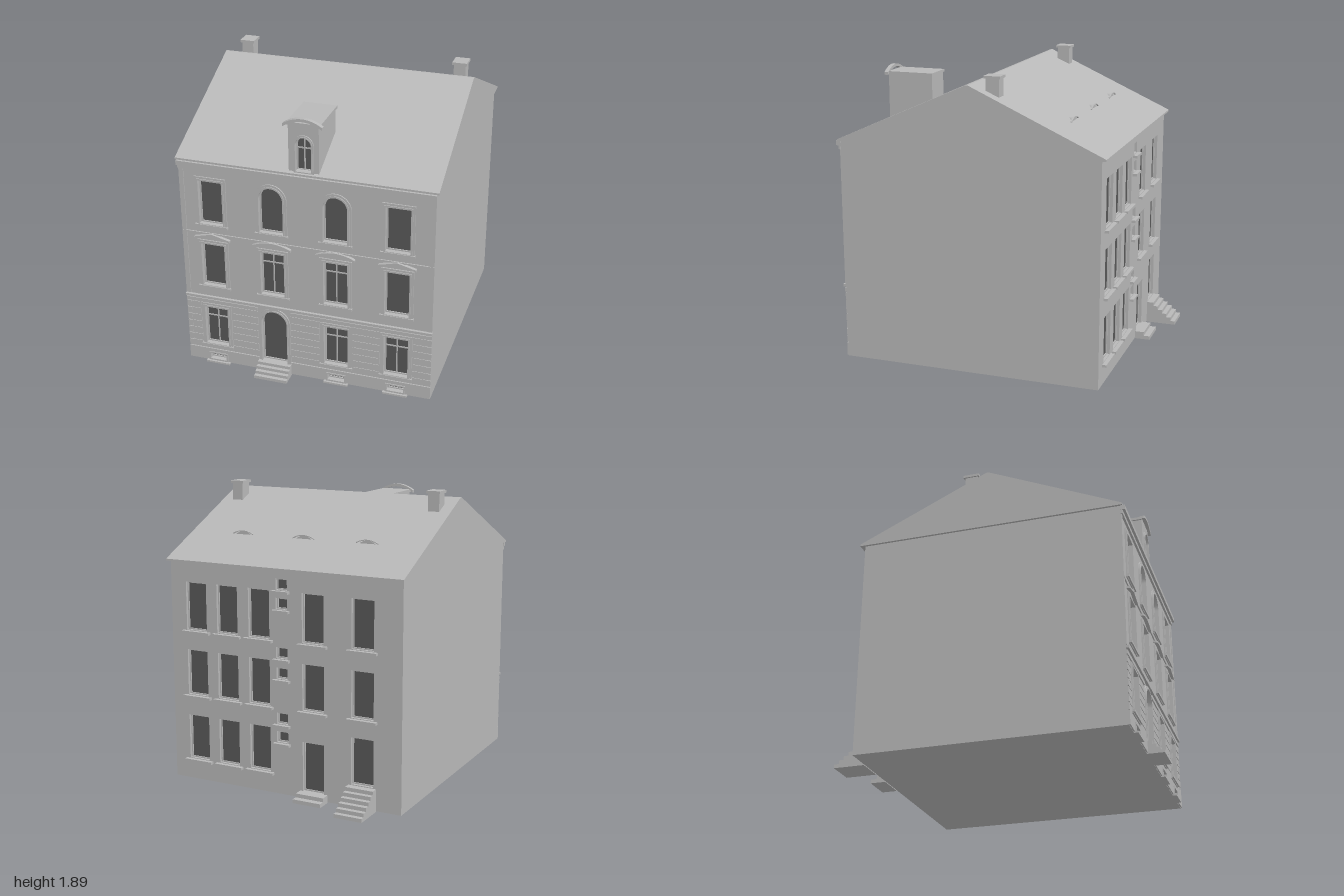
import * as THREE from 'three';

const mat = (name, color) => Object.assign(new THREE.MeshStandardMaterial({ color }), { name });
const stone = mat('grey stone', 0xb8b8b8);
const glass = mat('dark glass', 0x585858);

function add(parent, name, geometry, material = stone) {
  const m = new THREE.Mesh(geometry, material);
  m.name = name;
  parent.add(m);
  return m;
}

// Box given by its minimum and maximum on each axis
function box(parent, name, x0, x1, y0, y1, z0, z1, material = stone) {
  const g = new THREE.BoxGeometry(x1 - x0, y1 - y0, z1 - z0);
  g.translate((x0 + x1) / 2, (y0 + y1) / 2, (z0 + z1) / 2);
  return add(parent, name, g, material);
}

// Rectangular or round-headed outline
function outline(o, grow = 0, Type = THREE.Shape) {
  const r = o.w / 2 + grow, y0 = o.y0 - grow, y1 = o.y1 + grow;
  const s = new Type();
  s.moveTo(o.x - r, y0);
  s.lineTo(o.x + r, y0);
  if (o.arch) s.absarc(o.x, y1 - r, r, 0, Math.PI, false);
  else s.lineTo(o.x + r, y1).lineTo(o.x - r, y1);
  s.closePath();
  return s;
}

function extrude(parent, name, shape, z, depth, material = stone) {
  const g = new THREE.ExtrudeGeometry(shape, { depth, bevelEnabled: false, curveSegments: 16 });
  g.translate(0, 0, z);
  return add(parent, name, g, material);
}

// Flat wall with openings cut through it
function plate(parent, name, x0, x1, y0, y1, openings, z, depth) {
  const s = new THREE.Shape([[x0, y0], [x1, y0], [x1, y1], [x0, y1]].map(p => new THREE.Vector2(...p)));
  openings.forEach(o => s.holes.push(outline(o, 0, THREE.Path)));
  return extrude(parent, name, s, z, depth);
}

function ring(parent, name, o, outer, inner, z, depth) {
  const s = outline(o, outer);
  s.holes.push(outline(o, inner, THREE.Path));
  return extrude(parent, name, s, z, depth);
}

// Pane, sash, stepped surround and glazing bars; the wall face is z = 0
function windowUnit(parent, o) {
  const g = new THREE.Group();
  g.name = o.name || 'window';
  parent.add(g);
  add(g, 'pane', new THREE.ShapeGeometry(outline(o), 16).translate(0, 0, -0.026), glass);
  ring(g, 'sash', o, 0, -0.008, -0.026, 0.008);
  if (o.frame) {
    ring(g, 'outerSurround', o, o.frame, 0, 0, 0.008);
    ring(g, 'innerSurround', o, o.frame * 0.45, 0, 0, 0.013);
  }
  if (o.sill) box(g, 'sill', o.x - o.w / 2 - o.sill, o.x + o.w / 2 + o.sill, o.y0 - 0.02, o.y0 - 0.004, -0.01, o.sillOut);
  if (o.bars) {
    const yb = o.y1 - 0.075;
    box(g, 'uprightBar', o.x - 0.004, o.x + 0.004, o.y0, o.y1, -0.025, -0.02);
    box(g, 'crossBar', o.x - o.w / 2, o.x + o.w / 2, yb - 0.004, yb + 0.004, -0.025, -0.02);
  }
}

// Raised hood: pointed, or curved like a shallow bow
function hood(parent, name, x, y, w, rise, thick, z, depth, curved) {
  const n = curved ? 16 : 2, low = [], high = [];
  for (let i = 0; i <= n; i++) {
    const t = -1 + 2 * i / n;
    const h = y + rise * (curved ? 1 - t * t : 1 - Math.abs(t));
    low.push(new THREE.Vector2(x + t * w / 2, h));
    high.unshift(new THREE.Vector2(x + t * w / 2, h + thick));
  }
  return extrude(parent, name, new THREE.Shape([...low, ...high]), z, depth);
}

function steps(parent, x0, x1, height, z0, z1, count) {
  const g = new THREE.Group();
  g.name = 'steps';
  parent.add(g);
  for (let i = 0; i < count; i++)
    box(g, 'step', x0, x1, height * i / count, height * (i + 1) / count, z0, z1 - (z1 - z0) * i / (count + 0.5));
}

function buildFront(root) {
  const f = new THREE.Group();
  f.name = 'frontFacade';
  f.position.z = 0.89;
  root.add(f);
  const cols = [-0.608, -0.215, 0.195, 0.585];
  const openings = [], cellars = [];
  cols.forEach((x, i) => {
    const mid = i === 1 || i === 2;
    const base = { x, w: 0.155, frame: 0.025, sill: 0.03, sillOut: 0.018 };
    openings.push({ ...base, y0: 1.02, y1: mid ? 1.325 : 1.315, arch: mid });
    openings.push({ ...base, y0: 0.58, y1: 0.878, bars: mid });
    hood(f, 'windowHood', x, 0.912, mid ? 0.25 : 0.235, 0.03, 0.014, 0, 0.022, mid);
    if (i === 1) openings.push({ name: 'frontDoor', x, w: 0.17, y0: 0.08, y1: 0.455, frame: 0.022, arch: true });
    else {
      openings.push({ ...base, y0: 0.14, y1: 0.415, bars: true });
      cellars.push({ name: 'cellarWindow', x, w: 0.11, y0: 0.022, y1: 0.062 });
      box(f, 'cellarLedge', x - 0.08, x + 0.08, 0, 0.012, 0, 0.028);
    }
  });
  plate(f, 'frontWall', -0.81, 0.81, 0.005, 1.44, [...openings, ...cellars], -0.03, 0.03);
  [...openings, ...cellars].forEach(o => windowUnit(f, o));
  cellars.forEach(o => ring(f, 'cellarSurround', o, 0.01, 0, 0, 0.014));

  // Plinth and band on both sides of the door
  for (const [a, b] of [[-0.81, -0.325], [-0.105, 0.81]]) {
    plate(f, 'plinth', a, b, 0.008, 0.095, cellars.filter(o => o.x > a && o.x < b), 0, 0.008);
    box(f, 'lowerBand', a, b, 0.445, 0.47, 0, 0.009);
  }
  // Stone courses between the ground floor openings
  const piers = [[-0.78, -0.715], [-0.501, -0.325], [-0.105, 0.088], [0.302, 0.478], [0.692, 0.78]];
  for (let r = 0; r < 7; r++) {
    const y = 0.1 + r * 0.0493;
    piers.forEach(([a, b]) => box(f, 'stoneCourse', a, b, y, y + 0.043, 0, 0.004));
  }
  for (const s of [-1, 1]) {
    const a = s < 0 ? -0.81 : 0.78;
    box(f, 'cornerStrip', a, a + 0.03, 0.5, 1.385, 0, 0.006);
    for (let r = 0; r < 7; r++) box(f, 'cornerStone', a, a + 0.03, 0.1 + r * 0.0493, 0.143 + r * 0.0493, 0, 0.006);
  }
  box(f, 'groundCourse', -0.812, 0.812, 0.48, 0.497, 0, 0.018);
  box(f, 'upperCourse', -0.81, 0.81, 0.946, 0.956, 0, 0.008);
  box(f, 'lowerCornice', -0.812, 0.812, 1.385, 1.41, 0, 0.014);
  box(f, 'upperCornice', -0.815, 0.815, 1.41, 1.44, 0, 0.03);
  steps(f, -0.325, -0.105, 0.08, 0, 0.11, 4);
}

// The rear is turned round, so its x runs the other way
function buildBack(root) {
  const b = new THREE.Group();
  b.name = 'backFacade';
  b.position.z = -0.8;
  b.rotation.y = Math.PI;
  root.add(b);
  const openings = [];
  const rows = [[1.0, 1.31], [0.573, 0.87], [0.143, 0.435]];
  [-0.625, -0.397, -0.167, 0.212, 0.548].forEach((x, c) => rows.forEach(([y0, y1], r) => {
    const o = { x, w: 0.15, y0, y1, sill: 0.025, sillOut: 0.027 };
    if (r === 2 && c > 2) Object.assign(o, { name: 'backDoor', sill: 0, y0: c === 3 ? 0.05 : 0.15, y1: c === 3 ? 0.37 : 0.45 });
    openings.push(o);
  }));
  for (const y of [1.315, 1.195, 0.885, 0.755, 0.465, 0.345])
    openings.push({ name: 'smallWindow', x: -0.005, w: 0.08, y0: y, y1: y + 0.07, sill: 0.018, sillOut: 0.027 });
  plate(b, 'backWall', -0.81, 0.81, 0.005, 1.44, openings, -0.03, 0.03);
  openings.forEach(o => windowUnit(b, o));
  steps(b, 0.455, 0.642, 0.145, 0, 0.2, 6);
  steps(b, 0.118, 0.31, 0.05, 0, 0.1, 2);
}

function buildRoof(root) {
  // Gabled roof block; the profile is drawn in (-z, y) and swept along x
  const profile = [[-0.905, 1.44], [0.83, 1.44], [0.83, 1.452], [-0.028, 1.838], [-0.042, 1.838], [-0.905, 1.452]];
  const roof = extrude(root, 'roof', new THREE.Shape(profile.map(p => new THREE.Vector2(...p))), -0.825, 1.65);
  roof.geometry.rotateY(Math.PI / 2);

  for (const s of [-1, 1]) {
    box(root, 'chimney', s * 0.712 - 0.038, s * 0.712 + 0.038, 1.7, 1.875, -0.142, -0.058);
    box(root, 'chimneyCap', s * 0.712 - 0.047, s * 0.712 + 0.047, 1.873, 1.89, -0.152, -0.048);
  }

  // Front dormer
  const d = new THREE.Group();
  d.name = 'dormer';
  d.position.z = 0.886;
  root.add(d);
  const o = { x: 0, w: 0.1, y0: 1.465, y1: 1.685, arch: true, frame: 0.014, bars: true };
  box(d, 'dormerBody', -0.095, 0.095, 1.45, 1.756, -0.314, -0.03);
  plate(d, 'dormerFront', -0.095, 0.095, 1.442, 1.756, [o], -0.03, 0.03);
  windowUnit(d, o);
  box(d, 'dormerRoof', -0.106, 0.106, 1.755, 1.773, -0.318, 0);
  hood(d, 'dormerHood', 0, 1.75, 0.245, 0.04, 0.018, -0.008, 0.028, true);
  box(d, 'dormerSill', -0.1, 0.1, 1.438, 1.452, -0.02, 0.018);

  // Eyebrow vents on the rear slope: a bowed lip with a fan running back into the roof
  for (const x of [-0.44, 0, 0.44]) {
    hood(root, 'eyebrowLip', x, 1.592, 0.15, 0.02, 0.006, -0.526, 0.01, true);
    const n = 8, pos = [];
    const pt = i => [x - 0.055 + 0.11 * i / n, 1.592 + 0.02 * (1 - (2 * i / n - 1) ** 2), -0.518];
    for (let i = 0; i < n; i++) {
      pos.push(...pt(i), x, 1.612, -0.485, ...pt(i + 1));
      pos.push(...pt(i), ...pt(i + 1), x, 1.585, -0.518);
    }
    const g = new THREE.BufferGeometry();
    g.setAttribute('position', new THREE.Float32BufferAttribute(pos, 3));
    g.computeVertexNormals();
    add(root, 'eyebrowVent', g, ventStone);
  }
}
const ventStone = stone.clone();
ventStone.side = THREE.DoubleSide;

export function createModel() {
  const root = new THREE.Group();
  root.name = 'townHouse';
  box(root, 'body', -0.81, 0.81, 0.005, 1.44, -0.77, 0.86);
  buildFront(root);
  buildBack(root);
  buildRoof(root);
  return root;
}
